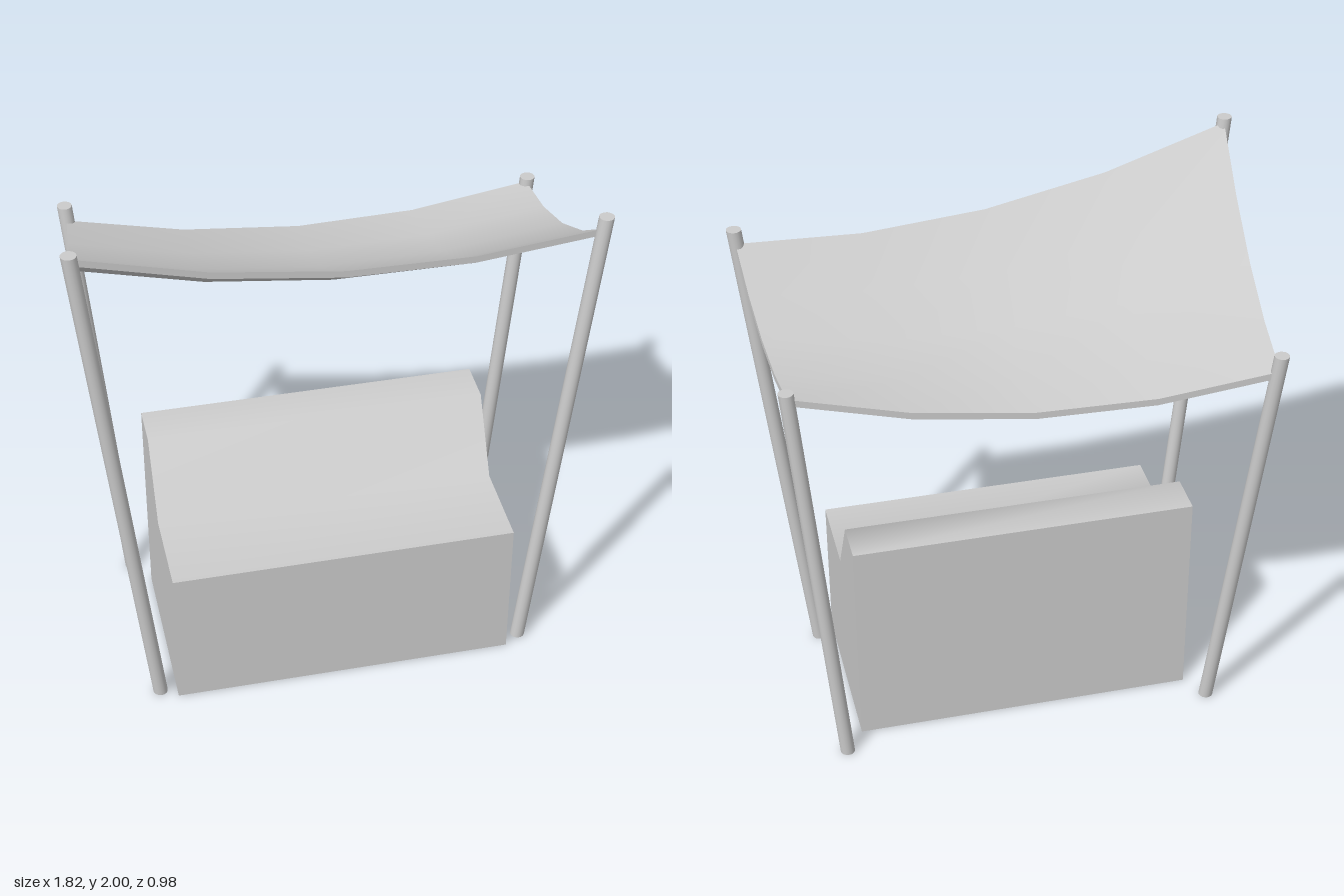
import * as THREE from 'three';
import { toCreasedNormals } from 'three/addons/utils/BufferGeometryUtils.js';

const material = new THREE.MeshStandardMaterial({ color: 0xcccccc });

function addMesh(group, name, geometry) {
  const mesh = new THREE.Mesh(geometry, material);
  mesh.name = name;
  group.add(mesh);
}

// Leaning pole with level ends: a cylinder sheared from foot to tip.
function poleGeometry(foot, tip) {
  const geometry = new THREE.CylinderGeometry(0.026, 0.026, 1, 16);
  const p = geometry.attributes.position;
  for (let i = 0; i < p.count; i++) {
    const t = p.getY(i) + 0.5;
    p.setXYZ(i,
      p.getX(i) + THREE.MathUtils.lerp(foot[0], tip[0], t),
      tip[1] * t,
      p.getZ(i) + THREE.MathUtils.lerp(foot[1], tip[2], t));
  }
  return toCreasedNormals(geometry, 0.8);
}

// Thin cloth hung between four corners, sagging along both directions.
function canopyGeometry(frontRight, frontLeft, backRight, backLeft) {
  const thickness = 0.025;
  const geometry = new THREE.BoxGeometry(2, thickness, 2, 4, 1, 4);
  const p = geometry.attributes.position;
  const front = new THREE.Vector3(), back = new THREE.Vector3();
  for (let i = 0; i < p.count; i++) {
    const u = p.getX(i), v = p.getZ(i), offset = p.getY(i) - thickness / 2;
    front.lerpVectors(frontRight, frontLeft, (u + 1) / 2);
    back.lerpVectors(backRight, backLeft, (u + 1) / 2);
    back.lerp(front, (v + 1) / 2);
    const sag = 0.107 * (1 - u * u) + 0.078 * (1 - v * v);
    p.setXYZ(i, back.x, back.y - sag + offset, back.z);
  }
  return toCreasedNormals(geometry, 0.8);
}

// Stepped side profile, extruded across the width.
function counterGeometry() {
  const width = 1.234;
  const profile = [[0.427, 0], [0.427, 0.556], [0.105, 0.556], [-0.055, 0.815], [-0.213, 0.815], [-0.213, 0]];
  const shape = new THREE.Shape(profile.map(([z, y]) => new THREE.Vector2(-z, y)));
  const geometry = new THREE.ExtrudeGeometry(shape, { depth: width, bevelEnabled: false });
  geometry.translate(0, 0, -width / 2);
  geometry.rotateY(Math.PI / 2);
  return toCreasedNormals(geometry, 1.1);
}

export function createModel() {
  const model = new THREE.Group();
  model.name = 'marketStall';

  // Poles: foot (x, z) and tip (x, y, z)
  const poles = {
    frontRightPole: [[-0.677, 0.385], [-0.888, 2.0, 0.46]],
    frontLeftPole: [[0.675, 0.375], [0.882, 1.83, 0.363]],
    backRightPole: [[-0.677, -0.305], [-0.812, 1.58, -0.463]],
    backLeftPole: [[0.685, -0.3], [0.822, 1.58, -0.3]],
  };
  for (const [name, [foot, tip]] of Object.entries(poles)) addMesh(model, name, poleGeometry(foot, tip));

  // Canopy
  addMesh(model, 'canopy', canopyGeometry(
    new THREE.Vector3(-0.885, 1.98, 0.452), new THREE.Vector3(0.88, 1.778, 0.355),
    new THREE.Vector3(-0.81, 1.517, -0.463), new THREE.Vector3(0.82, 1.557, -0.303)));

  // Counter
  addMesh(model, 'counter', counterGeometry());
  return model;
}
